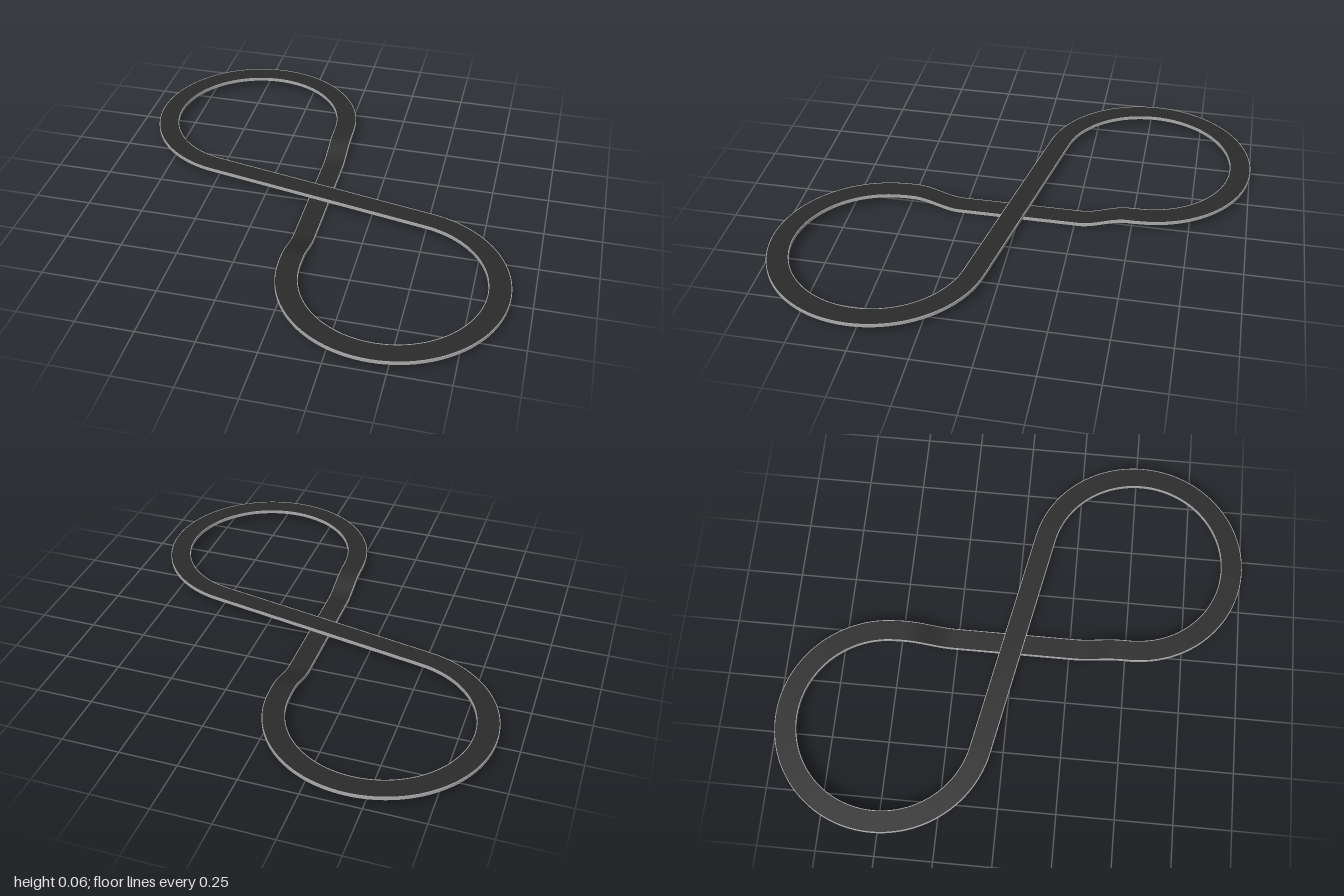
import * as THREE from 'three';

const CX = 0.432, CZ = 0.522, R = 0.431;        // loop centre offsets and centreline radius
const SWEEP = 2 * Math.PI - 2 * Math.atan2(CZ, CX); // arc between the two crossing straights
const HIGH = 0.046, THICK = 0.014;

// Underside height on the straight that dips below the crossing
function dipHeight(z) {
  return HIGH * THREE.MathUtils.smoothstep(Math.abs(z), 0.27, 0.48);
}

// Samples of the closed figure-eight: position and flat heading
function trackPath() {
  const samples = [], arcSteps = 72, lineSteps = 80;
  const arc = (t) => ({
    x: -CX + R * Math.cos(t), z: -CZ - R * Math.sin(t),
    tx: -Math.sin(t), tz: -Math.cos(t), y: HIGH,
  });
  // dipping straight, heading to the back
  for (let i = 0; i < lineSteps; i++) {
    const z = CZ - (2 * CZ * i) / lineSteps;
    samples.push({ x: 0, z, tx: 0, tz: -1, y: dipHeight(z) });
  }
  // rear loop
  for (let i = 0; i < arcSteps; i++) samples.push(arc((SWEEP * i) / arcSteps));
  // upper straight
  const end = arc(SWEEP);
  for (let i = 0; i < 10; i++) {
    const k = 1 - (2 * i) / 10;
    samples.push({ ...end, x: end.x * k, z: end.z * k });
  }
  // front loop: the rear one turned half way round
  for (let i = 0; i < arcSteps; i++) {
    const a = arc(SWEEP * (1 - i / arcSteps));
    samples.push({ ...a, x: -a.x, z: -a.z });
  }
  return samples;
}

// Sweep a rectangle (side offsets a..b, heights low..high) along the closed path
function sweep(path, a, b, low, high) {
  const corners = [[a, high], [b, high], [b, low], [a, low]];
  const positions = [], index = [], n = path.length;
  for (let k = 0; k < 4; k++) {
    const base = positions.length / 3;
    path.forEach((p, i) => {
      for (const [s, h] of [corners[k], corners[(k + 1) % 4]]) {
        positions.push(p.x - p.tz * s, p.y + h, p.z + p.tx * s);
      }
      const p0 = base + 2 * i, p1 = base + 2 * ((i + 1) % n);
      index.push(p0, p0 + 1, p1 + 1, p0, p1 + 1, p1);
    });
  }
  const geometry = new THREE.BufferGeometry();
  geometry.setAttribute('position', new THREE.Float32BufferAttribute(positions, 3));
  geometry.setIndex(index);
  geometry.computeVertexNormals();
  return geometry;
}

export function createModel() {
  const model = new THREE.Group();
  model.name = 'figureEightTrack';
  const path = trackPath();
  const asphalt = new THREE.MeshStandardMaterial({ color: 0x2b2b2b });
  const edging = new THREE.MeshStandardMaterial({ color: 0xaaaaaa });

  const add = (name, material, ...section) => {
    const mesh = new THREE.Mesh(sweep(path, ...section), material);
    mesh.name = name;
    model.add(mesh);
  };

  // road deck with a thin pale strip along each edge
  add('roadDeck', asphalt, -0.044, 0.044, 0, THICK);
  add('leftEdge', edging, -0.047, -0.044, 0, THICK + 0.001);
  add('rightEdge', edging, 0.044, 0.047, 0, THICK + 0.001);
  return model;
}
